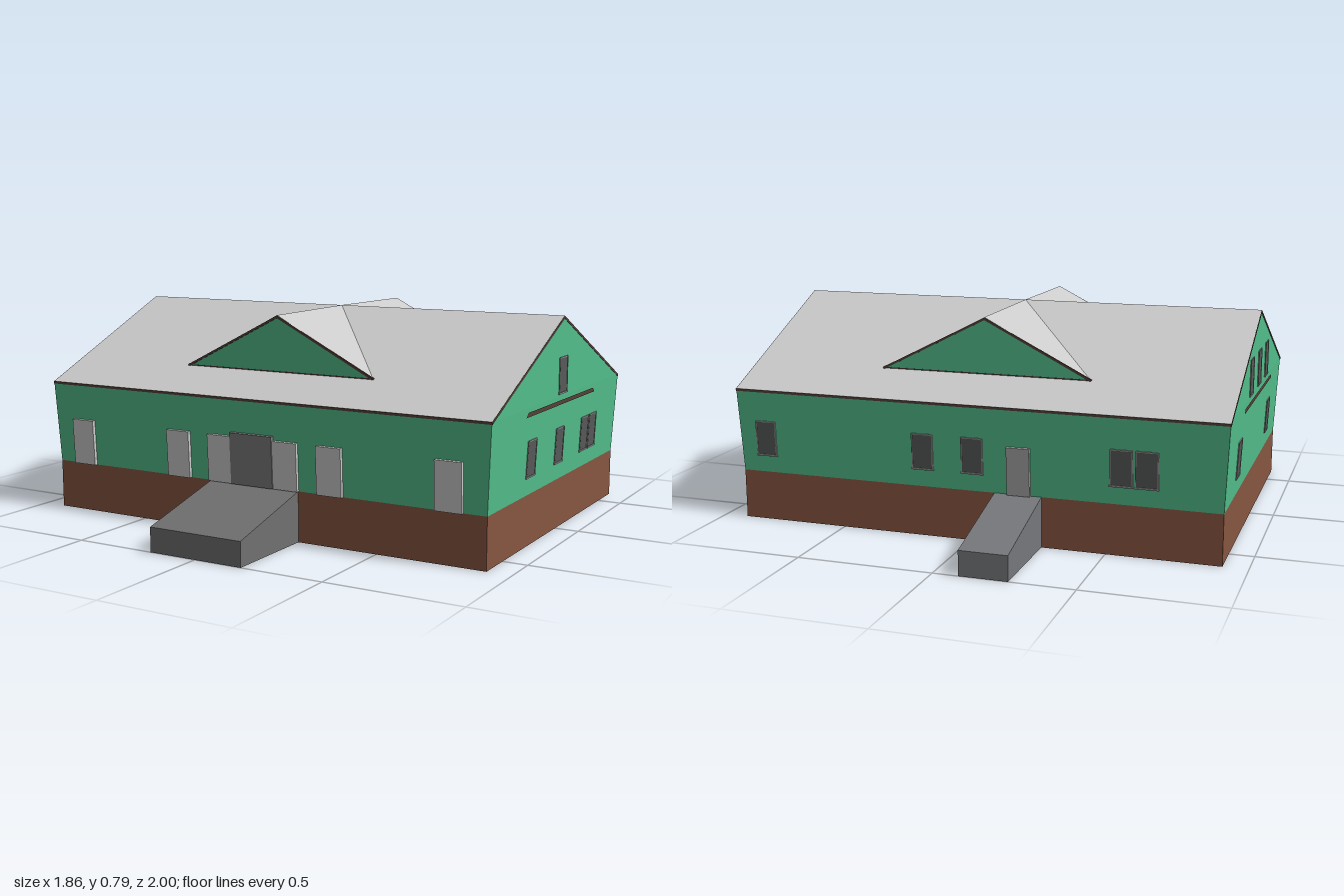
import * as THREE from 'three';

const GREEN = 0x52be8b, BRICK = 0x875540, GREY = 0xcccccc, DARK = 0x585a5a, FRAME = 0x999999, TRIM = 0x55403a;
const EX = 0.925, EZ = 0.65, EAVE = 0.5, RIDGE = 0.79;   // roof outline
const BX = 0.91, BZ = 0.637, BASE = 0.185;               // brick base
const LEAN = (EX - BX) / (EAVE - BASE);                  // outward lean of the upper walls
const UP = new THREE.Vector3(0, 1, 0);

const mat = (color, side = THREE.DoubleSide) =>
  new THREE.MeshStandardMaterial({ color, side, flatShading: true });

// Flat surface from convex polygons, each a counter-clockwise list of points
function surface(name, color, polys) {
  const pos = [];
  for (const p of polys)
    for (let i = 1; i < p.length - 1; i++) pos.push(...p[0], ...p[i], ...p[i + 1]);
  const g = new THREE.BufferGeometry();
  g.setAttribute('position', new THREE.Float32BufferAttribute(pos, 3));
  g.computeVertexNormals();
  const m = new THREE.Mesh(g, mat(color));
  m.name = name;
  return m;
}

const both = polys => [...polys, ...polys.map(p => p.map(([x, y, z]) => [-x, y, -z]))];
const flip = polys => polys.map(p => [...p].reverse());

// Four-sided band of wall between two rectangles
function band(x0, z0, y0, x1, z1, y1) {
  const c = [[-1, 1], [1, 1], [1, -1], [-1, -1]];
  return c.map(([ax, az], i) => {
    const [bx, bz] = c[(i + 1) % 4];
    return [[ax * x0, y0, az * z0], [bx * x0, y0, bz * z0], [bx * x1, y1, bz * z1], [ax * x1, y1, az * z1]];
  });
}

// Leaning walls and upright gable ends, set in by an inset
function upperShell(inset) {
  const x = EX - inset, z = EZ - inset, top = RIDGE - inset;
  return [
    ...band(BX - inset, BZ - inset, BASE, x, z, EAVE),
    ...both([[[x, EAVE, z], [x, EAVE, -z], [x, top, 0]]]),
  ];
}

function box(name, color, w, h, d, x, y, z) {
  const m = new THREE.Mesh(new THREE.BoxGeometry(w, h, d), mat(color, THREE.FrontSide));
  m.position.set(x, y, z);
  m.name = name;
  return m;
}

// Thin trim strip from a to b
function strip(name, a, b, t) {
  const p = new THREE.Vector3(...a), q = new THREE.Vector3(...b);
  const m = box(name, TRIM, t, t, p.distanceTo(q), 0, 0, 0);
  m.position.copy(p).add(q).multiplyScalar(0.5);
  m.lookAt(q);
  return m;
}

// Window facing +z, reaching through the wall: pane, frame bars and sill
function makeWindow() {
  const g = new THREE.Group();
  g.name = 'window';
  const w = 0.078, h = 0.13;
  g.add(box('windowPane', DARK, w, h, 0.022, 0, 0, -0.009));
  for (const s of [-1, 1]) g.add(box('windowFrameSide', FRAME, 0.004, h, 0.025, s * w / 2, 0, -0.009));
  g.add(box('windowFrameTop', FRAME, w, 0.004, 0.025, 0, h / 2, -0.009));
  g.add(box('windowSill', FRAME, w + 0.008, 0.006, 0.027, 0, -h / 2, -0.009));
  return g;
}

// Sets a part on the wall facing the given angle, u to its right, leaning with the wall
function onWall(part, angle, u, y) {
  const out = Math.abs(Math.sin(angle)) > 0.5 ? BX : BZ;
  part.rotation.set(y < EAVE ? LEAN : 0, angle, 0, 'YXZ');
  part.position.set(u, y, out + LEAN * (Math.min(y, EAVE) - BASE)).applyAxisAngle(UP, angle);
  return part;
}

// Sloping ramp, open underneath, running from the wall to z = 1
function makeRamp(name, color, x, w) {
  const l = x - w / 2, r = x + w / 2, z0 = BZ, z1 = 1, lo = 0.09;
  return surface(name, color, [
    [[l, BASE, z0], [l, lo, z1], [r, lo, z1], [r, BASE, z0]],
    [[l, 0, z1], [r, 0, z1], [r, lo, z1], [l, lo, z1]],
    [[r, 0, z1], [r, 0, z0], [r, BASE, z0], [r, lo, z1]],
    [[l, 0, z0], [l, 0, z1], [l, lo, z1], [l, BASE, z0]],
  ]);
}

export function createModel() {
  const model = new THREE.Group();
  model.name = 'house';

  // Walls, with a pale lining
  model.add(surface('brickBase', BRICK, band(BX, BZ, 0, BX, BZ, BASE)));
  model.add(surface('upperWalls', GREEN, upperShell(0)));
  model.add(surface('wallLining', GREY, flip(upperShell(0.01))));

  // Main roof slopes, cut open under the dormers
  const DX = 0.4, DZ = 0.475, dy = RIDGE - (RIDGE - EAVE) * DZ / EZ;
  const P = [0, RIDGE, 0], G = [0, RIDGE - 0.003, DZ];
  const [Rl, Rr] = [-1, 1].map(s => [s * EX, RIDGE, 0]);
  const [El, Er] = [-1, 1].map(s => [s * EX, EAVE, EZ]);
  const [Dl, Dr] = [-1, 1].map(s => [s * DX, dy, DZ]);
  const slope = both([[Rl, El, Dl], [Rl, Dl, P], [El, Er, Dr], [El, Dr, Dl], [Rr, Dr, Er], [Rr, P, Dr]]);
  const dormer = both([[P, Dl, G], [P, G, Dr]]);
  model.add(surface('mainRoof', GREY, slope));
  model.add(surface('dormerRoofs', GREY, dormer));
  const underside = surface('roofUnderside', 0x2a2a2a, flip([...slope, ...dormer]));
  underside.position.y = -0.006;
  model.add(underside);

  // Dormer gables, pale on the inside
  const gable = z => both([[[-DX, dy, z], [DX, dy, z], [0, G[1], z]]]);
  model.add(surface('dormerGables', GREEN, gable(DZ)));
  model.add(surface('dormerLining', GREY, flip(gable(DZ - 0.008))));

  for (const s of [-1, 1]) {
    // Trim along eaves, gable rakes and dormers
    const ez = s * (EZ - 0.003), ex = s * (EX - 0.003), dz = s * (DZ - 0.001);
    model.add(strip('eaveTrim', [-EX, EAVE - 0.004, ez], [EX, EAVE - 0.004, ez], 0.009));
    model.add(strip('dormerSill', [-DX, dy + 0.002, dz], [DX, dy + 0.002, dz], 0.004));
    for (const t of [-1, 1]) {
      model.add(strip('rakeTrim', [ex, EAVE - 0.005, t * EZ], [ex, RIDGE - 0.006, 0], 0.009));
      model.add(strip('dormerTrim', [t * DX, dy, dz], [0, RIDGE - 0.009, dz], 0.008));
    }
    // Flat tapered moulding across each gable end
    const m = [[-0.355, 0.468], [0.355, 0.468], [0.335, 0.484], [-0.335, 0.484]];
    model.add(surface('gableMoulding', TRIM, [m.map(([z, y]) => [s * 0.9265, y, z])]));
  }

  // Front entrance: tall panels and double door
  for (const x of [-0.78, -0.325, -0.14, 0.14, 0.32, 0.775])
    model.add(onWall(box('frontPanel', 0xc4c4c4, 0.1, 0.175, 0.026), 0, x, 0.2725));
  model.add(onWall(box('frontDoor', 0x7c7c7c, 0.178, 0.19, 0.03), 0, 0, 0.28));

  // Back door and windows
  model.add(onWall(box('backDoor', 0xa8a8a8, 0.085, 0.175, 0.026), Math.PI, 0.185, 0.2725));
  for (const u of [-0.81, -0.18, 0.01, 0.555, 0.645])
    model.add(onWall(makeWindow(), Math.PI, u, 0.315));

  // Gable windows: [side, z, y]
  const ends = [
    [1, 0.275, 0.315], [1, 0, 0.315], [1, -0.272, 0.315], [1, -0.362, 0.315], [1, 0, 0.575],
    [-1, -0.385, 0.315], [-1, 0.345, 0.315], [-1, -0.2, 0.575], [-1, 0, 0.575], [-1, 0.19, 0.575],
  ];
  for (const [s, z, y] of ends) model.add(onWall(makeWindow(), s * Math.PI / 2, -s * z, y));

  // Ramps
  model.add(makeRamp('frontRamp', 0x707070, 0, 0.375));
  const back = makeRamp('backRamp', 0x76787c, 0.18, 0.175);
  back.rotation.y = Math.PI;
  model.add(back);
  return model;
}
